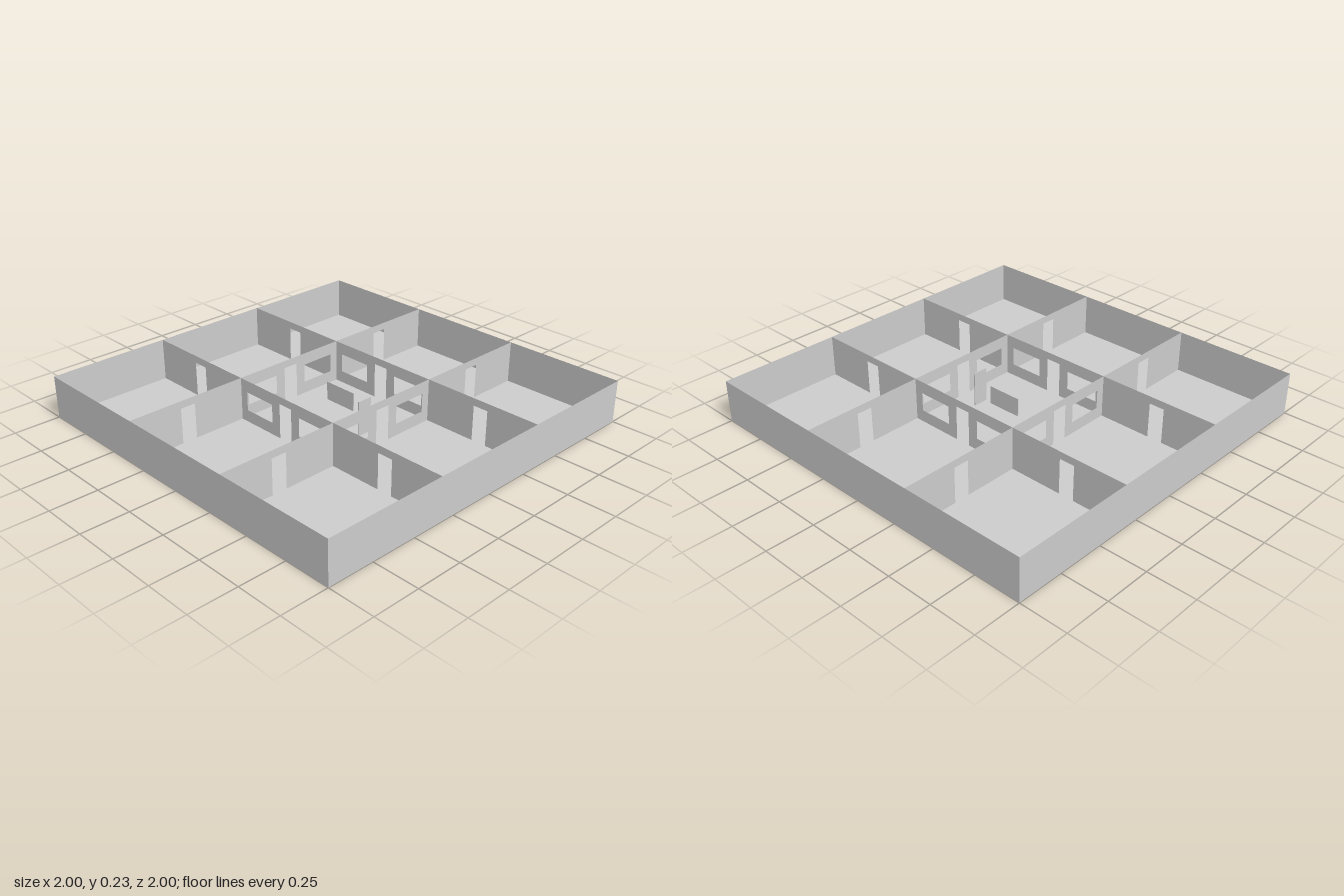
import * as THREE from 'three';

const HEIGHT = 0.23, BAY = 1 / 3;
const DOOR_W = 0.084, DOOR_H = 0.19;
const WIN_W = 0.19, WIN_LOW = 0.065, WIN_HIGH = 0.165, WIN_X = 0.193;

export function createModel() {
  const model = new THREE.Group();
  const grey = new THREE.MeshStandardMaterial({ color: 0xcccccc });
  const sheet = new THREE.MeshStandardMaterial({ color: 0xcccccc, side: THREE.DoubleSide });

  function add(name, geometry, material, x, y, z, parent = model) {
    const mesh = new THREE.Mesh(geometry, material);
    mesh.name = name;
    mesh.position.set(x, y, z);
    parent.add(mesh);
    return mesh;
  }

  // Paper-thin wall with a doorway in the middle and optional windows beside it
  function wallGeometry(width, windows) {
    const w = width / 2, d = DOOR_W / 2;
    const shape = new THREE.Shape([
      [-w, 0], [-d, 0], [-d, DOOR_H], [d, DOOR_H], [d, 0], [w, 0], [w, HEIGHT], [-w, HEIGHT],
    ].map(([x, y]) => new THREE.Vector2(x, y)));
    if (windows) {
      for (const side of [-1, 1]) {
        const a = side * WIN_X - WIN_W / 2, b = side * WIN_X + WIN_W / 2;
        shape.holes.push(new THREE.Path([
          new THREE.Vector2(a, WIN_LOW), new THREE.Vector2(a, WIN_HIGH),
          new THREE.Vector2(b, WIN_HIGH), new THREE.Vector2(b, WIN_LOW),
        ]));
      }
    }
    return new THREE.ShapeGeometry(shape);
  }

  // Floor
  add('floor', new THREE.PlaneGeometry(2, 2).rotateX(-Math.PI / 2), sheet, 0, 0, 0);

  // Each quarter turn: an outer wall, a wall of the central room, two partitions
  const outer = new THREE.PlaneGeometry(2, HEIGHT);
  const central = wallGeometry(2 * BAY, true);
  const partition = wallGeometry(2 * BAY, false);
  ['front', 'left', 'back', 'right'].forEach((name, i) => {
    const side = new THREE.Group();
    side.name = name + 'Walls';
    side.rotation.y = i * Math.PI / 2;
    model.add(side);
    add('outerWall', outer, sheet, 0, HEIGHT / 2, 1, side);
    add('centralRoomWall', central, sheet, 0, 0, BAY, side);
    for (const s of [-1, 1]) add('partitionWall', partition, sheet, s * 2 * BAY, 0, BAY, side);
  });

  // Free-standing door leaf with knobs
  const door = new THREE.Group();
  door.name = 'door';
  door.position.set(0, 0, 0.21);
  model.add(door);
  add('doorLeaf', new THREE.BoxGeometry(DOOR_W, DOOR_H, 0.005), grey, 0, DOOR_H / 2, 0, door);
  for (const s of [-1, 1]) {
    add('doorKnob', new THREE.SphereGeometry(0.003, 12, 8), grey, 0.035, 0.09, s * 0.004, door);
  }

  // Loose window panel in the middle of the central room
  add('windowPanel', new THREE.BoxGeometry(0.005, WIN_HIGH - WIN_LOW, WIN_W), grey,
    0.045, (WIN_LOW + WIN_HIGH) / 2, -0.005);

  return model;
}
